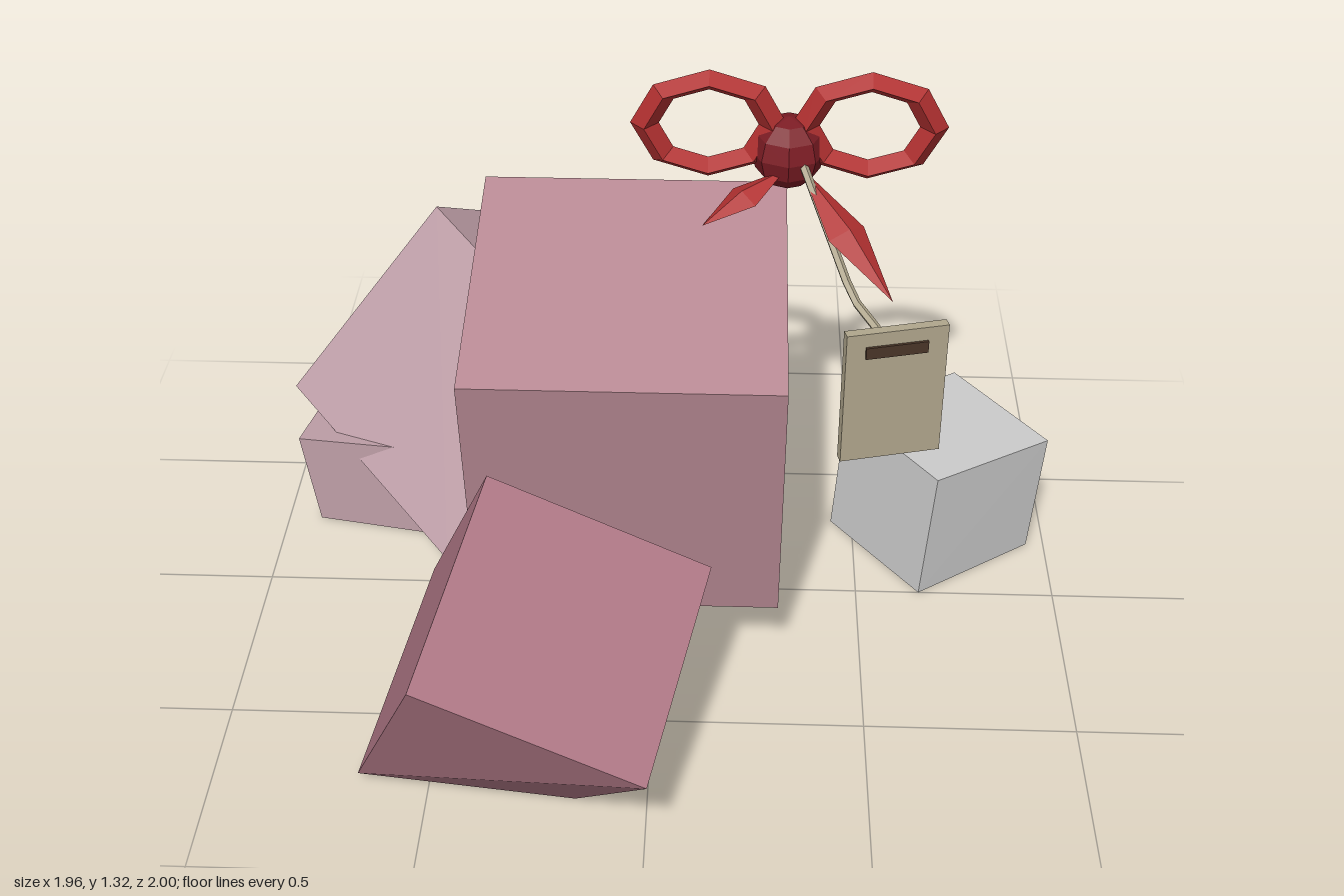
import * as THREE from 'three';

const V = (p) => new THREE.Vector3(...p);
const mat = (color) => new THREE.MeshStandardMaterial({ color, flatShading: true });
const red = mat(0xb03030), darkRed = mat(0x7c1c24), card = mat(0xb0a68c), dark = mat(0x4a3528);

export function createModel() {
  const model = new THREE.Group();
  const add = (name, geometry, material, pos = [0, 0, 0], rot = [0, 0, 0]) => {
    const mesh = new THREE.Mesh(geometry, material);
    mesh.name = name;
    mesh.position.set(...pos);
    mesh.rotation.set(...rot);
    model.add(mesh);
    return mesh;
  };

  // Box from a top corner and three edges (a, b across the top, c downward), pressed flat on the ground
  const tippedBox = (name, corner, a, b, c, color) => {
    const g = new THREE.BoxGeometry(1, 1, 1).toNonIndexed();
    const p = g.attributes.position;
    for (let i = 0; i < p.count; i++) {
      const v = V(corner)
        .addScaledVector(V(a), p.getX(i) + 0.5)
        .addScaledVector(V(b), p.getZ(i) + 0.5)
        .addScaledVector(V(c), 0.5 - p.getY(i));
      p.setXYZ(i, v.x, Math.max(0, v.y), v.z);
    }
    g.computeVertexNormals();
    return add(name, g, mat(color));
  };

  // Boxes in the pile
  add('mainBox', new THREE.BoxGeometry(0.725, 0.725, 0.72), mat(0xb98b95), [-0.068, 0.605, 0.007], [0.197, 0, 0]);
  tippedBox('frontBox', [-0.365, 0.685, 0.467], [0.5, -0.21, 0.041], [-0.125, -0.205, 0.49], [-0.173, -0.459, -0.236], 0xab7482);
  tippedBox('backBox', [-0.59, 0.82, -0.5], [-0.39, -0.495, 0.1], [0.26, -0.305, -0.5], [0.434, -0.264, 0.387], 0xbe9ea7);
  tippedBox('smallBox', [0.47, 0.365, -0.29], [0.295, -0.02, -0.21], [0.215, -0.01, 0.29], [-0.025, -0.365, 0], 0xcccccc);
  tippedBox('crushedBox', [-0.87, 0.23, -0.73], [0.37, 0.02, 0.07], [-0.085, 0.02, 0.465], [0.04, -0.27, 0.01], 0xbe9ea7);

  // Bent corner of the crushed box
  const flap = new THREE.BufferGeometry();
  const [tip, front, low, back] = [[-0.785, 0.39, -0.58], [-0.94, 0.27, -0.46], [-0.91, 0.05, -0.57], [-0.87, 0.15, -0.73]];
  flap.setAttribute('position', new THREE.Float32BufferAttribute([tip, low, front, tip, back, low].flat(), 3));
  flap.computeVertexNormals();
  const flapMat = mat(0xbe9ea7);
  flapMat.side = THREE.DoubleSide;
  add('bentCorner', flap, flapMat);

  // Bow loops and knot
  for (const s of [-1, 1]) {
    const loop = add(s < 0 ? 'rightBowLoop' : 'leftBowLoop', new THREE.TorusGeometry(0.152, 0.034, 4, 8), red, [0.295 + s * 0.19, 1.183, -0.277]);
    loop.scale.set(1, 0.75, 1.1);
  }
  add('bowKnot', new THREE.SphereGeometry(0.09, 8, 6), darkRed, [0.295, 1.115, -0.277]);

  // Ribbon tails: flattened diamonds stretched between two points
  const tail = (name, from, to, width) => {
    const a = V(from), b = V(to);
    const mesh = add(name, new THREE.OctahedronGeometry(1), red, a.clone().add(b).multiplyScalar(0.5).toArray());
    mesh.scale.set(width, 0.02, a.distanceTo(b) / 2);
    mesh.lookAt(b);
  };
  tail('leftRibbonTail', [0.325, 1.1, -0.22], [0.54, 0.89, 0.035], 0.055);
  tail('rightRibbonTail', [0.29, 1.09, -0.23], [0.095, 1.0, -0.11], 0.05);

  // String and gift tag
  const path = new THREE.CurvePath();
  const knots = [[0.33, 1.11, -0.21], [0.45, 0.865, -0.02], [0.525, 0.815, 0.08]].map(V);
  for (let i = 0; i < 2; i++) path.add(new THREE.LineCurve3(knots[i], knots[i + 1]));
  add('tagString', new THREE.TubeGeometry(path, 8, 0.011, 5), card);
  add('giftTag', new THREE.BoxGeometry(0.245, 0.35, 0.025), card, [0.548, 0.685, 0.1], [0, 0.25, 0]);
  add('tagSlot', new THREE.BoxGeometry(0.15, 0.03, 0.012), dark, [0.55, 0.81, 0.113], [0, 0.25, 0]);

  return model;
}
